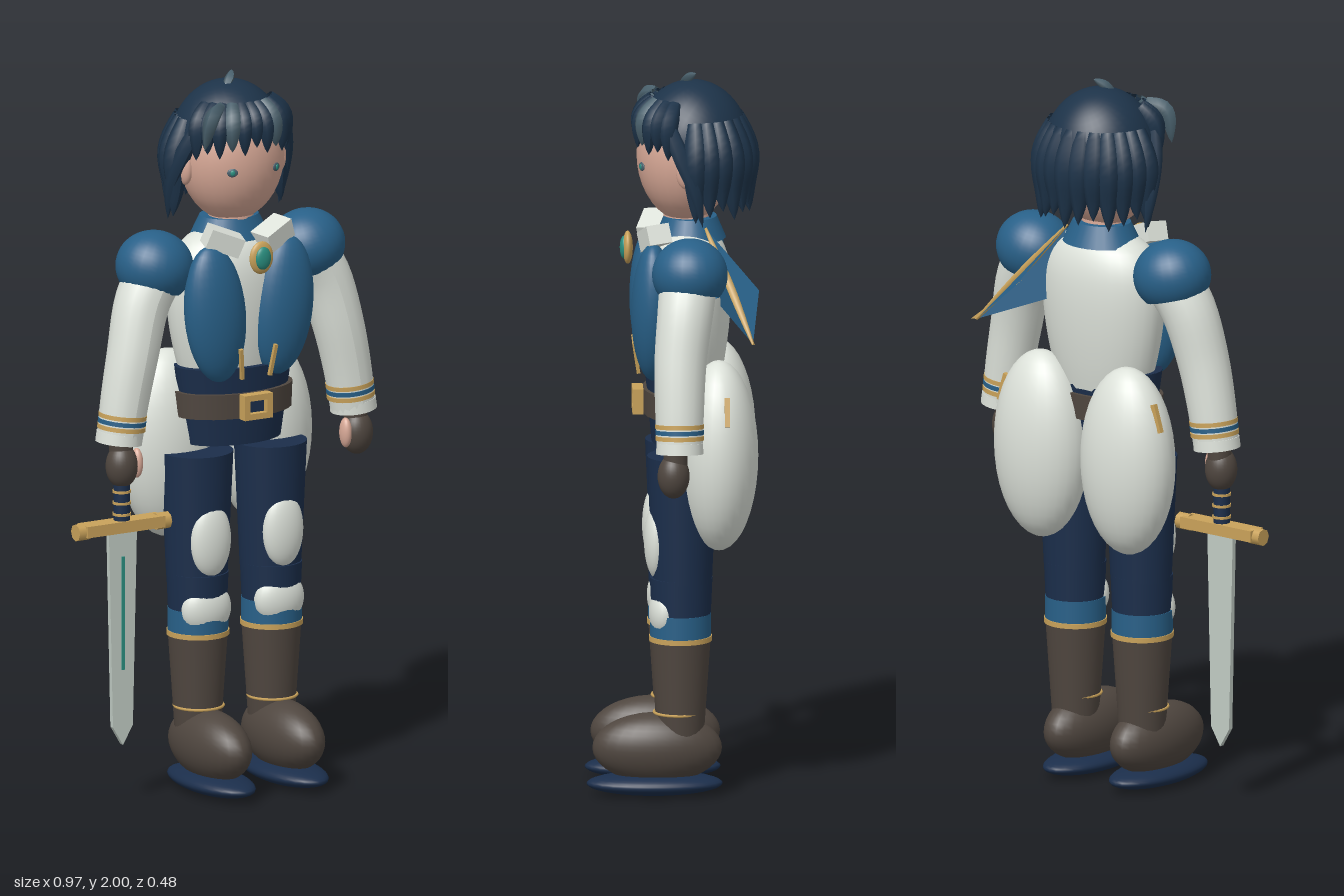
import * as THREE from 'three';

const mat = (name, color, side = THREE.FrontSide) => {
  const m = new THREE.MeshStandardMaterial({ color, side });
  m.name = name;
  return m;
};

export function createModel() {
  const navy = mat('navy cloth', 0x1b2e4b);
  const hair = mat('dark blue hair', 0x1d3349, THREE.DoubleSide);
  const slate = mat('slate hair streak', 0x49606c, THREE.DoubleSide);
  const white = mat('white cloth', 0xdde2da, THREE.DoubleSide);
  const blue = mat('blue cloth', 0x286088, THREE.DoubleSide);
  const gold = mat('gold trim', 0xc9a25a, THREE.DoubleSide);
  const brown = mat('brown leather', 0x4f463f);
  const skin = mat('skin', 0xd7a896);
  const teal = mat('teal gem', 0x2a8f80);
  const steel = mat('blade steel', 0xc0cbc3);

  const model = new THREE.Group();
  const figure = new THREE.Group();
  figure.name = 'figure';
  figure.position.x = 0.05;
  model.add(figure);

  const add = (name, geo, material, x = 0, y = 0, z = 0, rx = 0, ry = 0, rz = 0) => {
    const m = new THREE.Mesh(geo, material);
    m.name = name;
    m.position.set(x, y, z);
    m.rotation.set(rx, ry, rz);
    figure.add(m);
    return m;
  };
  const ball = (a, b, c) => new THREE.SphereGeometry(1, 28, 20).scale(a, b, c);
  const box = (a, b, c) => new THREE.BoxGeometry(a, b, c);
  const cyl = (top, bottom, h, depth = 1, seg = 28) =>
    new THREE.CylinderGeometry(top, bottom, h, seg).scale(1, 1, depth);
  // Tube along a smooth path whose radius follows a rule
  const taper = (points, radius, sides = 8, steps = 12) => {
    const curve = new THREE.CatmullRomCurve3(points.map(p => new THREE.Vector3(...p)));
    const geo = new THREE.TubeGeometry(curve, steps, 1, sides);
    const pos = geo.attributes.position, v = new THREE.Vector3();
    for (let i = 0; i <= steps; i++) {
      const c = curve.getPointAt(i / steps);
      for (let j = 0; j <= sides; j++) {
        const k = i * (sides + 1) + j;
        v.fromBufferAttribute(pos, k).sub(c).multiplyScalar(radius(i / steps)).add(c);
        pos.setXYZ(k, v.x, v.y, v.z);
      }
    }
    geo.computeVertexNormals();
    return geo;
  };
  const lockRadius = r => t => r * Math.max(0.01, Math.pow(Math.sin(Math.PI * (0.2 + 0.8 * t)), 0.75));

  // Head, ears and eyes
  add('head', ball(0.15, 0.187, 0.135), skin, 0, 1.772, -0.037);
  for (const s of [-1, 1]) {
    add('ear', ball(0.018, 0.048, 0.028), skin, s * 0.15, 1.75, -0.035);
    add('eye', ball(0.015, 0.012, 0.004), slate, s * 0.07, 1.75, 0.085, 0, s * 0.45);
    add('iris', ball(0.007, 0.008, 0.003), teal, s * 0.071, 1.75, 0.088, 0, s * 0.45);
  }

  // Hair cap, tilted back so the forehead stays free
  const cap = new THREE.SphereGeometry(1, 32, 16, 0, Math.PI * 2, 0, Math.PI * 0.52);
  cap.rotateX(-0.45).scale(0.162, 0.186, 0.16);
  add('hairCap', cap, hair, 0, 1.792, -0.055);

  // Side and back locks
  for (let i = 0; i < 13; i++) {
    const a = THREE.MathUtils.degToRad(92 + i * 176 / 12);
    const at = (k, y) => [Math.sin(a) * 0.165 * k, y, -0.055 + Math.cos(a) * 0.15 * k];
    const tip = 1.61 + (i % 3) * 0.014;
    add('hairLock', taper([at(0.8, 1.88), at(1, 1.78), at(1.0, 1.69), at(1.05, tip)], lockRadius(0.034)), hair);
  }
  // Fringe with lighter streaks
  for (let i = 0; i < 11; i++) {
    const a = (i - 5) * 0.225;
    const at = (k, y) => [Math.sin(a) * 0.155 * k, y, -0.05 + Math.cos(a) * 0.145 * k];
    const tip = 1.8 - 0.02 * Math.abs(i - 5) / 5 + (i % 2) * 0.016;
    const streak = i === 3 || i === 7;
    add('fringeLock', taper([at(0.7, 1.93), at(0.97, 1.88), at(1.03, tip)],
      lockRadius(streak ? 0.028 : 0.025), 6), streak ? slate : hair);
  }
  for (const s of [-1, 1])
    add('templeLock', taper([[s * 0.12, 1.9, 0.02], [s * 0.16, 1.8, -0.02], [s * 0.18, 1.7, -0.06], [s * 0.178, 1.6, -0.08]],
      lockRadius(0.024), 6), hair);
  add('sideTuft', taper([[-0.08, 1.93, 0.04], [-0.125, 1.91, 0.07], [-0.15, 1.82, 0.07]], lockRadius(0.022), 5), slate);
  add('topTuft', taper([[-0.02, 1.965, -0.03], [0, 1.985, -0.045], [0.018, 2.0, -0.065]], lockRadius(0.014), 5), slate);

  // Torso, neck and collar
  const torso = [[0.14, 1.12], [0.165, 1.2], [0.186, 1.3], [0.194, 1.4], [0.182, 1.48], [0.14, 1.54], [0.06, 1.58]];
  const profile = new THREE.SplineCurve(torso.map(p => new THREE.Vector2(...p))).getPoints(20);
  add('torso', new THREE.LatheGeometry(profile, 32).scale(1, 1, 0.62), white, 0, 0, -0.042);
  add('neck', cyl(0.06, 0.07, 0.12), skin, 0, 1.58, -0.04);
  add('collar', cyl(0.085, 0.115, 0.06, 0.85), blue, 0, 1.57, -0.05);
  for (const s of [-1, 1]) {
    add('collarFlap', box(0.1, 0.055, 0.065), white, s * 0.08, 1.553, 0.05, 0.1, s * 0.3, s * 0.35);
    add('lapel', ball(0.092, 0.195, 0.06), blue, s * 0.108, 1.35, 0.055, 0, 0, s * -0.1);
    add('lapelPin', box(0.01, 0.09, 0.01), gold, s * 0.05, 1.21, 0.1, 0.15, 0, s * -0.13);
  }
  add('brooch', ball(0.037, 0.046, 0.014), gold, 0, 1.51, 0.122);
  add('broochGem', ball(0.024, 0.032, 0.012), teal, 0, 1.51, 0.132);

  // Waist, belt and buckle
  add('waist', cyl(0.178, 0.145, 0.22, 0.6), navy, 0, 1.08, -0.03);
  add('belt', cyl(0.18, 0.177, 0.07, 0.62), brown, 0, 1.085, -0.03);
  const buckle = new THREE.Shape().moveTo(-0.045, -0.035).lineTo(0.045, -0.035).lineTo(0.045, 0.035).lineTo(-0.045, 0.035);
  buckle.holes.push(new THREE.Path().moveTo(-0.027, -0.018).lineTo(-0.027, 0.018).lineTo(0.027, 0.018).lineTo(0.027, -0.018));
  add('buckle', new THREE.ExtrudeGeometry(buckle, { depth: 0.03, bevelEnabled: false }), gold, 0, 1.085, 0.08);
  add('buckleInset', box(0.056, 0.038, 0.01), navy, 0, 1.085, 0.086);

  // Short shoulder scarf with a gold edge
  const sheet = (...p) => {
    const g = new THREE.BufferGeometry();
    g.setAttribute('position', new THREE.Float32BufferAttribute(p.flat(), 3));
    g.computeVertexNormals();
    return g;
  };
  const root = [0.09, 1.58, -0.09], fold = [0.16, 1.42, -0.235], end = [0.31, 1.3, -0.215];
  add('scarf', sheet(root, fold, end), blue);
  add('scarfUnderside', sheet(root, end, [0.13, 1.37, -0.13]), blue);
  add('scarfTrim', taper([root, [0.2, 1.44, -0.155], end], t => 0.004 + 0.008 * Math.sin(Math.PI * t), 5), gold);
  add('scarfTip', sheet(end, [0.325, 1.3, -0.22], [0.19, 1.42, -0.165]), gold);

  for (const s of [-1, 1]) {
    // Arm, shoulder, cuff and hand
    add('sleeve', taper([[s * 0.24, 1.47, -0.04], [s * 0.29, 1.39, -0.03], [s * 0.33, 1.25, -0.015],
      [s * 0.358, 1.12, -0.012], [s * 0.375, 1.01, -0.012]], t => 0.08 - 0.017 * t, 20, 16), white);
    const shoulder = new THREE.SphereGeometry(1, 28, 18, 0, Math.PI * 2, 0, Math.PI * 0.72).scale(0.11, 0.1, 0.104);
    add('shoulderPuff', shoulder, blue, s * 0.243, 1.482, -0.043, 0, 0, s * 0.25);
    add('cuff', cyl(0.064, 0.065, 0.03), white, s * 0.375, 1.022, -0.012, 0, 0, s * 0.12);
    [[1.082, gold], [1.066, blue], [1.05, gold]].forEach(([y, m]) =>
      add('cuffStripe', cyl(0.067, 0.067, 0.012), m, s * (0.364 + (1.082 - y) * 0.12), y, -0.012, 0, 0, s * 0.12));
    add('wrist', cyl(0.033, 0.033, 0.05), brown, s * 0.376, 0.995, 0);
    add('glove', ball(0.045, 0.062, 0.044), brown, s * 0.377, 0.945, 0.005);
    add('thumb', ball(0.016, 0.042, 0.022), skin, s * 0.335, 0.95, 0.015);

    // Puffed hip panel with a gold pin
    add('hipPuff', ball(0.145, 0.265, 0.108), white, s * 0.153, 0.957, -0.125);
    add('hipPin', box(0.014, 0.08, 0.014), gold, s * 0.272, 1.1, -0.145, 0, 0, s * 0.3);

    // Leg, knee guard and boot
    add('thigh', cyl(0.102, 0.086, 0.35, 0.95), navy, s * 0.118, 0.775, -0.025);
    add('lowerLeg', cyl(0.086, 0.078, 0.18), navy, s * 0.118, 0.52, -0.022);
    add('thighPad', ball(0.062, 0.105, 0.035), white, s * 0.116, 0.71, 0.045);
    add('kneePad', ball(0.076, 0.075, 0.045), white, s * 0.117, 0.512, 0.022);
    add('bootBand', cyl(0.084, 0.084, 0.075), blue, s * 0.118, 0.472, -0.02);
    add('bootTrim', cyl(0.087, 0.087, 0.014), gold, s * 0.118, 0.44, -0.02);
    add('bootShaft', cyl(0.083, 0.064, 0.28), brown, s * 0.118, 0.3, -0.02);
    add('ankleTrim', new THREE.TorusGeometry(0.068, 0.004, 6, 28), gold, s * 0.118, 0.232, -0.015, Math.PI / 2);
    add('bootFoot', ball(0.082, 0.098, 0.178), brown, s * 0.117, 0.132, 0.044);
    add('sole', ball(0.087, 0.032, 0.187), navy, s * 0.117, 0.032, 0.051);
  }

  // Sword held in the right hand
  const sx = -0.378, sz = 0.006;
  add('swordGrip', cyl(0.023, 0.023, 0.22, 1, 16), navy, sx, 0.88, sz);
  for (const y of [0.81, 0.842, 0.874]) add('gripRing', cyl(0.026, 0.026, 0.007, 1, 16), gold, sx, y, sz);
  add('swordGuard', box(0.25, 0.032, 0.054), gold, sx, 0.777, sz);
  for (const s of [-1, 1]) add('guardEnd', cyl(0.024, 0.024, 0.04, 1, 8), gold, sx + s * 0.128, 0.774, sz, 0, 0, Math.PI / 2);
  const blade = new THREE.Shape();
  [[-0.045, 0.765], [-0.032, 0.21], [0, 0.157], [0.032, 0.21], [0.045, 0.765]]
    .forEach(([x, y], i) => (i ? blade.lineTo(x, y) : blade.moveTo(x, y)));
  add('swordBlade', new THREE.ExtrudeGeometry(blade, { depth: 0.014, bevelEnabled: false }), steel, sx, 0, sz - 0.007);
  add('bladeInlay', box(0.01, 0.32, 0.005), teal, sx, 0.53, sz + 0.008);
  return model;
}
